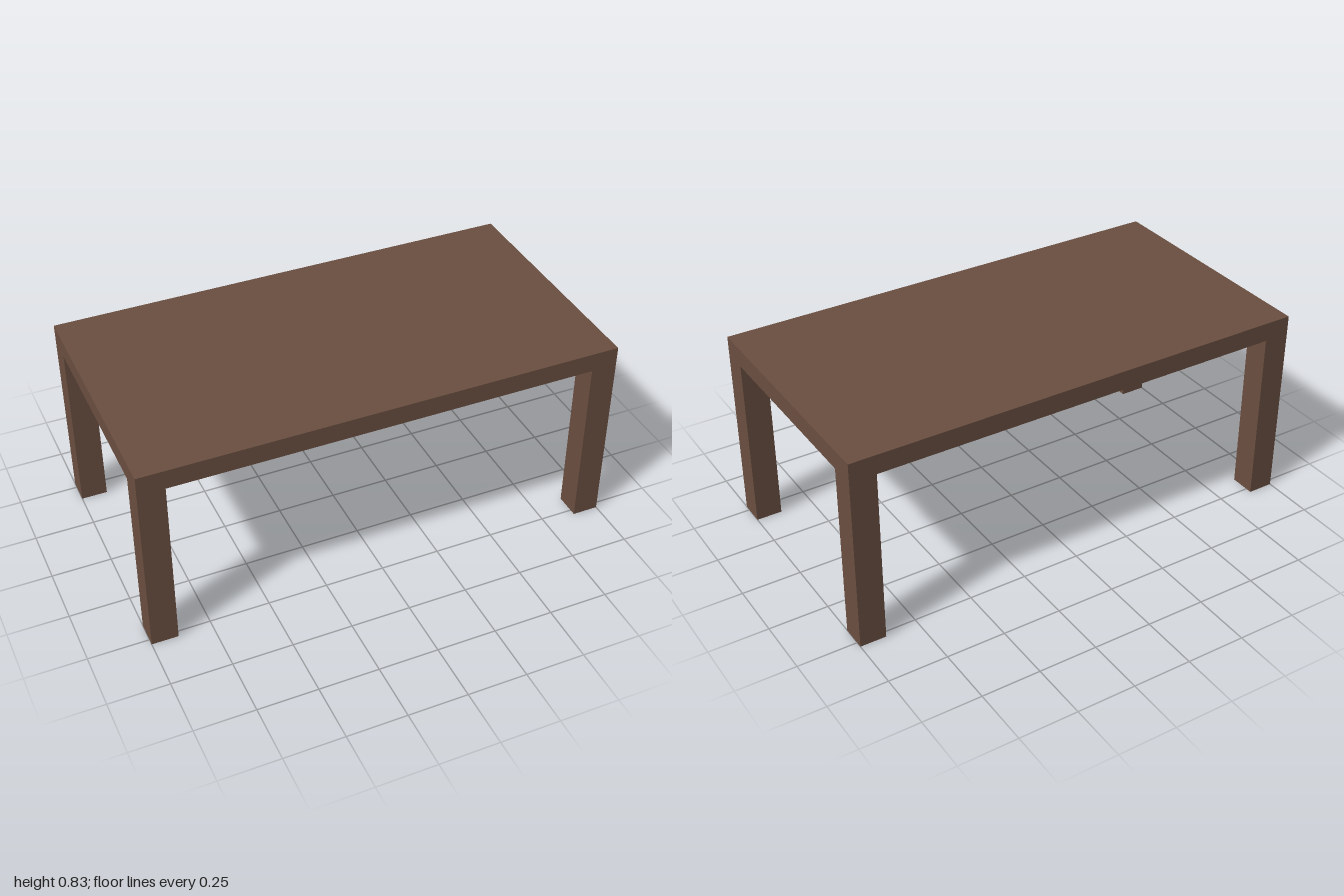
import * as THREE from 'three';

export function createModel() {
  const table = new THREE.Group();
  table.name = 'table';
  const wood = new THREE.MeshStandardMaterial({ color: 0x6b4f41 });
  wood.name = 'brown wood';
  const metal = new THREE.MeshStandardMaterial({ color: 0x25332f });
  metal.name = 'dark metal';

  const X = 1, Z = 0.527, H = 0.833; // half length, half depth, height
  const leg = 0.11, top = 0.044, rail = 0.045, railBottom = 0.752;
  const under = H - top;             // underside of the top boards
  const innerX = X - leg, innerZ = Z - leg;

  // Box given by its size, centre x and z, and bottom height
  function box(name, w, h, d, x, y, z, material = wood) {
    const mesh = new THREE.Mesh(new THREE.BoxGeometry(w, h, d), material);
    mesh.name = name;
    mesh.position.set(x, y + h / 2, z);
    table.add(mesh);
  }

  // Main panel of the top
  box('topPanel', innerX * 2, top, Z * 2, 0, under, 0);

  for (const s of [-1, 1]) {
    // Square legs reaching the top surface
    for (const t of [-1, 1]) {
      box('leg', leg, H, leg, s * (X - leg / 2), 0, t * (Z - leg / 2));
    }
    // End boards between the legs
    box('endBoard', leg, top, innerZ * 2, s * (X - leg / 2), under, 0);
    // Apron rails, flush with the outside
    box('endRail', rail, under - railBottom, innerZ * 2, s * (X - rail / 2), railBottom, 0);
    box('sideRail', innerX * 2, under - railBottom, rail, 0, railBottom, s * (Z - rail / 2));
    // Stiffening bars under the top
    box('stiffeningBar', 0.05, 0.01, 0.86, s * 0.5, under - 0.01, 0, metal);
  }
  return table;
}
